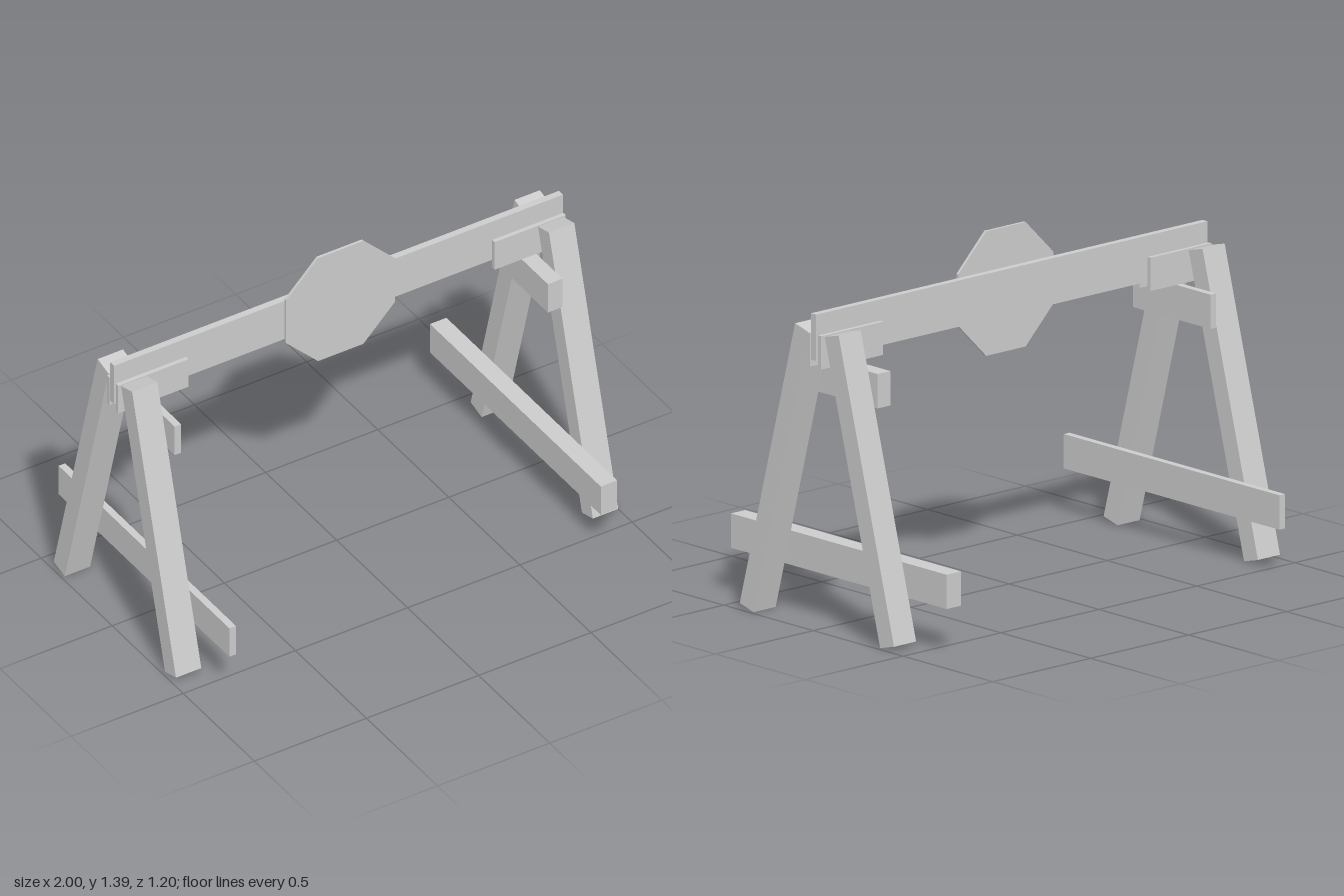
import * as THREE from 'three';

const material = new THREE.MeshStandardMaterial({ color: 0xcccccc, flatShading: true });

// Box given by its min/max range along each axis
function board(name, [x0, x1], [y0, y1], [z0, z1]) {
  const mesh = new THREE.Mesh(new THREE.BoxGeometry(x1 - x0, y1 - y0, z1 - z0), material);
  mesh.name = name;
  mesh.position.set((x0 + x1) / 2, (y0 + y1) / 2, (z0 + z1) / 2);
  return mesh;
}

// Square-ended leg leaning in the z direction
function leg(name, x, z, tilt) {
  const mesh = new THREE.Mesh(new THREE.BoxGeometry(0.113, 1.193, 0.08), material);
  mesh.name = name;
  mesh.position.set(x, 0.5865, z);
  mesh.rotation.x = tilt;
  return mesh;
}

export function createModel() {
  const model = new THREE.Group();
  model.name = 'barricade';

  // Long horizontal beam
  model.add(board('beam', [-1, 1], [1.055, 1.235], [-0.0145, 0.0135]));

  // Octagonal sign plate with flat sides up, down, left and right
  const signGeometry = new THREE.CylinderGeometry(0.263, 0.263, 0.011, 8);
  signGeometry.rotateY(Math.PI / 8).rotateX(Math.PI / 2);
  const sign = new THREE.Mesh(signGeometry, material);
  sign.name = 'signPlate';
  sign.position.set(0, 1.147, 0.0235);
  model.add(sign);

  // A-frame trestles at both ends
  const tilt = THREE.MathUtils.degToRad(15);
  for (const side of [-1, 1]) {
    const trestle = new THREE.Group();
    trestle.name = side > 0 ? 'leftTrestle' : 'rightTrestle';
    trestle.add(leg('frontLeg', side * 0.929, 0.233, -tilt));
    trestle.add(leg('backLeg', side * 0.929, -0.241, tilt));

    // Clamp plates either side of the beam
    const plateX = side > 0 ? [0.68, 0.997] : [-0.997, -0.685];
    trestle.add(board('frontClampPlate', plateX, [1.025, 1.155], [0.021, 0.038]));
    trestle.add(board('backClampPlate', plateX, [1.025, 1.155], [-0.04, -0.023]));

    // Cross rails: thick on the left trestle, thin on the right one
    const upperX = side > 0 ? [0.805, 0.87] : [-0.858, -0.829];
    const lowerX = side > 0 ? [0.797, 0.87] : [-0.858, -0.829];
    trestle.add(board('upperRail', upperX, [0.886, 1.02], [-0.217, 0.216]));
    trestle.add(board('lowerRail', lowerX, [0.18, 0.314], [-0.601, 0.601]));
    model.add(trestle);
  }
  return model;
}
